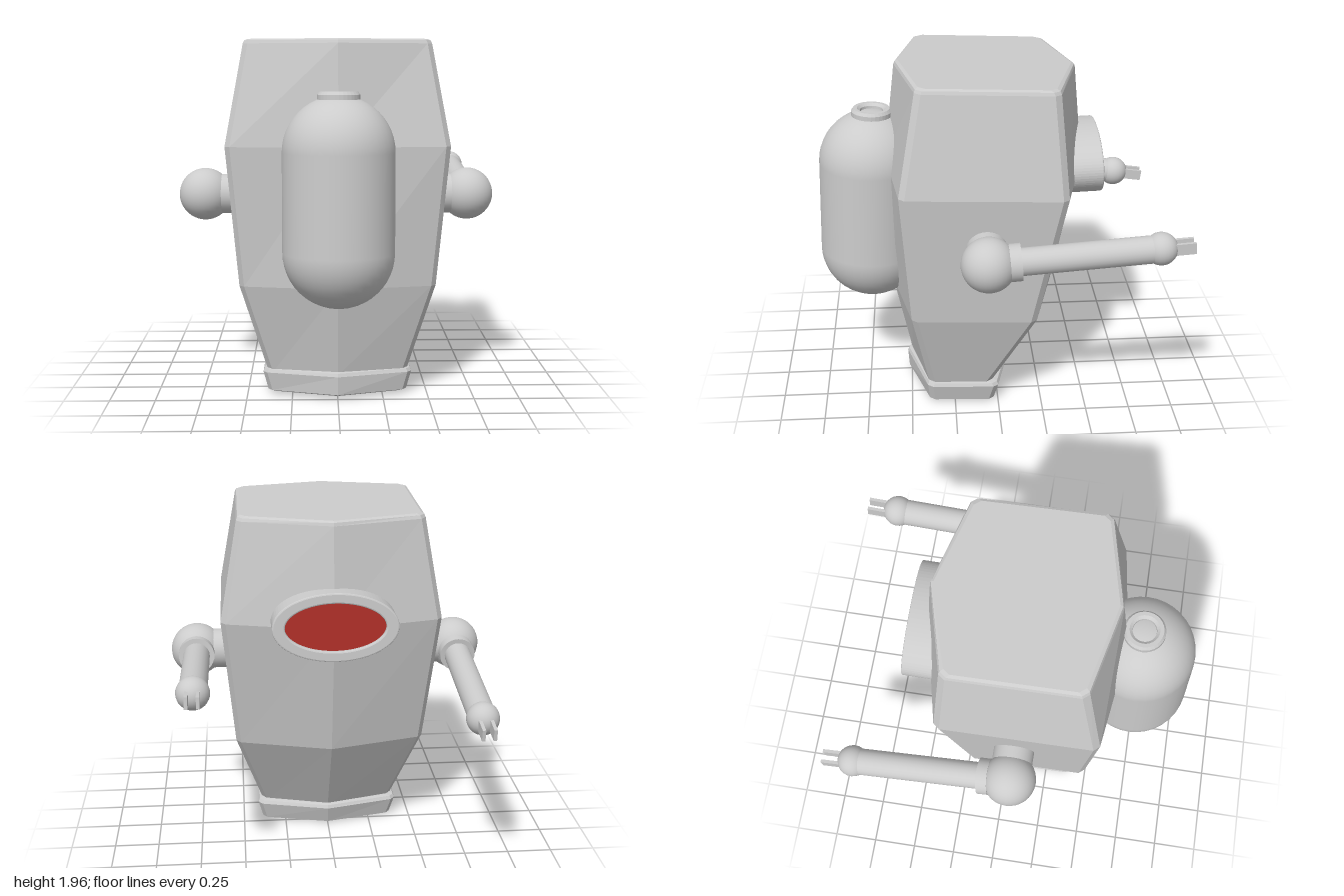
import * as THREE from 'three';

const grey = new THREE.MeshStandardMaterial({ color: 0xcccccc });
const flat = new THREE.MeshStandardMaterial({ color: 0xcccccc, flatShading: true });
const red = new THREE.MeshStandardMaterial({ color: 0xb03028 });
const LEAN = 0.036; // the whole hull leans slightly backwards

function add(parent, name, geometry, material = grey, x = 0, y = 0, z = 0) {
  const mesh = new THREE.Mesh(geometry, material);
  mesh.name = name;
  mesh.position.set(x, y, z);
  parent.add(mesh);
  return mesh;
}

// Six-sided section with chamfered side corners; runs front, left, back, right
function section([h, w, front, frontSide, backSide, back], chamfer) {
  const cut = (from, to) => {
    const d = new THREE.Vector2().subVectors(to, from);
    return from.clone().addScaledVector(d, chamfer / d.length());
  };
  const f = new THREE.Vector2(0, front), b = new THREE.Vector2(0, back);
  const fs = new THREE.Vector2(w, frontSide), bs = new THREE.Vector2(w, backSide);
  const half = [cut(fs, f), cut(fs, bs), cut(bs, fs), cut(bs, b)];
  const mirrored = half.map((p) => new THREE.Vector2(-p.x, p.y)).reverse();
  return [f, ...half, b, ...mirrored].map((p) => [p.x, h + LEAN * p.y, p.y]);
}

// Skin through stacked sections, closed at both ends
function hull(levels, chamfer) {
  const rings = levels.map((l) => section(l, chamfer));
  const n = rings[0].length, index = [];
  for (let r = 0; r < rings.length - 1; r++) {
    for (let i = 0; i < n; i++) {
      const a = r * n + i, b = r * n + (i + 1) % n;
      index.push(a, b, b + n, a, b + n, a + n);
    }
  }
  const top = (rings.length - 1) * n;
  for (let i = 1; i < n - 1; i++) {
    index.push(0, i + 1, i, top, top + i, top + i + 1);
  }
  const g = new THREE.BufferGeometry();
  g.setAttribute('position', new THREE.Float32BufferAttribute(rings.flat(2), 3));
  g.setIndex(index);
  const out = g.toNonIndexed();
  out.computeVertexNormals();
  return out;
}

function oval(path, rx, ry) {
  path.absellipse(0, 0, rx, ry, 0, Math.PI * 2, false, 0);
  return path;
}

// Arm built along -z from the shoulder centre
function makeArm(side, pitch) {
  const arm = new THREE.Group();
  arm.name = side > 0 ? 'leftArm' : 'rightArm';
  arm.position.set(side * 0.745, 1.09, 0.075);
  add(arm, 'shoulderStub', new THREE.CylinderGeometry(0.112, 0.112, 0.24, 32), grey, -side * 0.13)
    .rotation.z = Math.PI / 2;
  add(arm, 'shoulderBall', new THREE.SphereGeometry(0.147, 32, 20));

  const limb = new THREE.Group();
  limb.name = 'limb';
  limb.rotation.x = pitch;
  arm.add(limb);
  add(limb, 'collar', new THREE.CylinderGeometry(0.1, 0.1, 0.06, 32), grey, 0, 0, -0.14)
    .rotation.x = Math.PI / 2;
  add(limb, 'forearm', new THREE.CylinderGeometry(0.074, 0.074, 0.8, 24), grey, 0, 0, -0.5)
    .rotation.x = Math.PI / 2;
  add(limb, 'handBall', new THREE.SphereGeometry(0.088, 24, 16), grey, 0, 0, -0.9);
  for (const s of [-1, 1]) {
    add(limb, 'claw', new THREE.BoxGeometry(0.018, 0.062, 0.13), grey, s * 0.03, 0, -1.012);
  }
  return arm;
}

export function createModel() {
  const model = new THREE.Group();
  model.name = 'robot';

  // Levels: height, half width, front ridge, front corner, back corner, back ridge
  add(model, 'body', hull([
    [0.12, 0.385, 0.49, 0.39, 0.05, -0.05],
    [0.62, 0.535, 0.595, 0.48, -0.2, -0.335],
    [1.38, 0.602, 0.612, 0.53, -0.355, -0.495],
    [1.925, 0.505, 0.545, 0.43, -0.31, -0.445],
    [1.942, 0.498, 0.538, 0.425, -0.303, -0.44],
    [1.95, 0.482, 0.522, 0.41, -0.287, -0.425],
  ], 0.028), flat);

  add(model, 'base', hull([
    [0.006, 0.365, 0.497, 0.375, 0.045, -0.035],
    [0.015, 0.385, 0.515, 0.39, 0.03, -0.055],
    [0.118, 0.412, 0.522, 0.4, 0.005, -0.092],
    [0.136, 0.404, 0.514, 0.393, 0.013, -0.084],
    [0.141, 0.385, 0.495, 0.38, 0.03, -0.065],
  ], 0.024), flat);

  // Front tank with a hollow filler neck
  const tank = new THREE.Group();
  tank.name = 'tank';
  tank.position.set(0, 1.125, 0.694);
  tank.rotation.x = -LEAN;
  model.add(tank);
  add(tank, 'tankShell', new THREE.CapsuleGeometry(0.294, 0.52, 12, 36));
  const neck = [[0.112, 0.48], [0.112, 0.557], [0.1, 0.573], [0.08, 0.573], [0.064, 0.56], [0.062, 0.535], [0, 0.535]];
  add(tank, 'fillerNeck', new THREE.LatheGeometry(neck.map(([r, y]) => new THREE.Vector2(r, y)), 32), flat);

  // Oval rear window, facing -z
  const eye = new THREE.Group();
  eye.name = 'rearWindow';
  eye.position.set(0, 1.39, -0.3);
  eye.rotation.set(LEAN, Math.PI, 0);
  model.add(eye);
  const rim = oval(new THREE.Shape(), 0.327, 0.178);
  rim.holes.push(oval(new THREE.Path(), 0.275, 0.138));
  add(eye, 'windowRim', new THREE.ExtrudeGeometry(rim, {
    depth: 0.272, bevelThickness: 0.008, bevelSize: 0.008, bevelSegments: 2, curveSegments: 40,
  }));
  add(eye, 'windowPane', new THREE.ShapeGeometry(oval(new THREE.Shape(), 0.28, 0.143), 40), red, 0, 0, 0.255);

  model.add(makeArm(1, 0.072), makeArm(-1, -0.138));
  return model;
}
